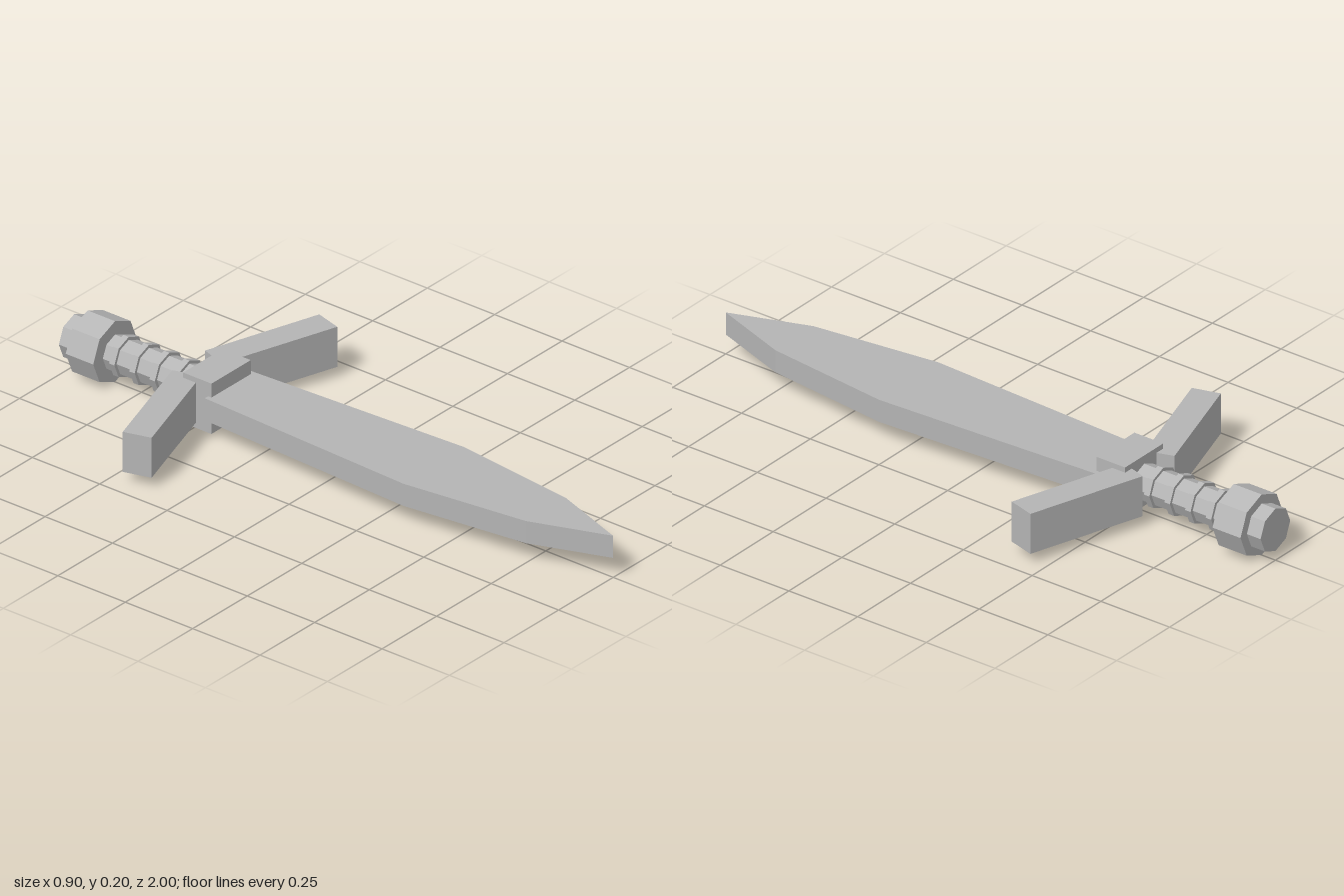
import * as THREE from 'three';

export function createModel() {
  const group = new THREE.Group();
  const grey = new THREE.MeshStandardMaterial({ color: 0xb4b4b4, flatShading: true });
  grey.name = 'grey';
  const midY = 0.101;

  const add = (name, geometry, x = 0, y = 0, z = 0) => {
    const mesh = new THREE.Mesh(geometry, grey);
    mesh.name = name;
    mesh.position.set(x, y, z);
    group.add(mesh);
    return mesh;
  };

  // Flat outline of [x, z] points, thickened from y0 up to y1
  const slab = (name, points, y0, y1) => {
    const shape = new THREE.Shape(points.map(([x, z]) => new THREE.Vector2(x, -z)));
    const geometry = new THREE.ExtrudeGeometry(shape, { depth: y1 - y0, bevelEnabled: false });
    geometry.rotateX(-Math.PI / 2);
    return add(name, geometry, 0, y0, 0);
  };

  // Octagonal prism lying along z
  const prism = (name, radius, z0, z1) => {
    const geometry = new THREE.CylinderGeometry(radius, radius, z1 - z0, 8);
    geometry.rotateX(Math.PI / 2);
    return add(name, geometry, 0, midY, (z0 + z1) / 2);
  };

  // Blade and the thin ridge on its underside
  slab('blade', [
    [-0.105, -0.43], [-0.14, 0.335], [-0.09, 0.75], [0, 1],
    [0.09, 0.75], [0.14, 0.335], [0.105, -0.43],
  ], 0.065, 0.138);
  add('bladeRidge', new THREE.BoxGeometry(0.028, 0.02, 1.09), 0, 0.064, 0.255);

  // Crossguard: centre block and two arms swept towards the tip
  add('guardBlock', new THREE.BoxGeometry(0.18, 0.166, 0.105), 0, midY, -0.47);
  for (const side of [1, -1]) {
    slab(side > 0 ? 'leftGuardArm' : 'rightGuardArm', [
      [0.075 * side, -0.575], [0.45 * side, -0.455],
      [0.425 * side, -0.368], [0.048 * side, -0.489],
    ], 0.035, 0.167);
  }

  // Grip with raised rings
  prism('grip', 0.056, -0.86, -0.47);
  for (let i = 0; i < 4; i++) {
    const z = -0.582 - i * 0.075;
    prism('gripRing', 0.066, z - 0.01, z + 0.01);
  }

  // Pommel and end cap
  prism('pommel', 0.1, -0.95, -0.848);
  prism('pommelCap', 0.07, -1, -0.94);

  return group;
}
